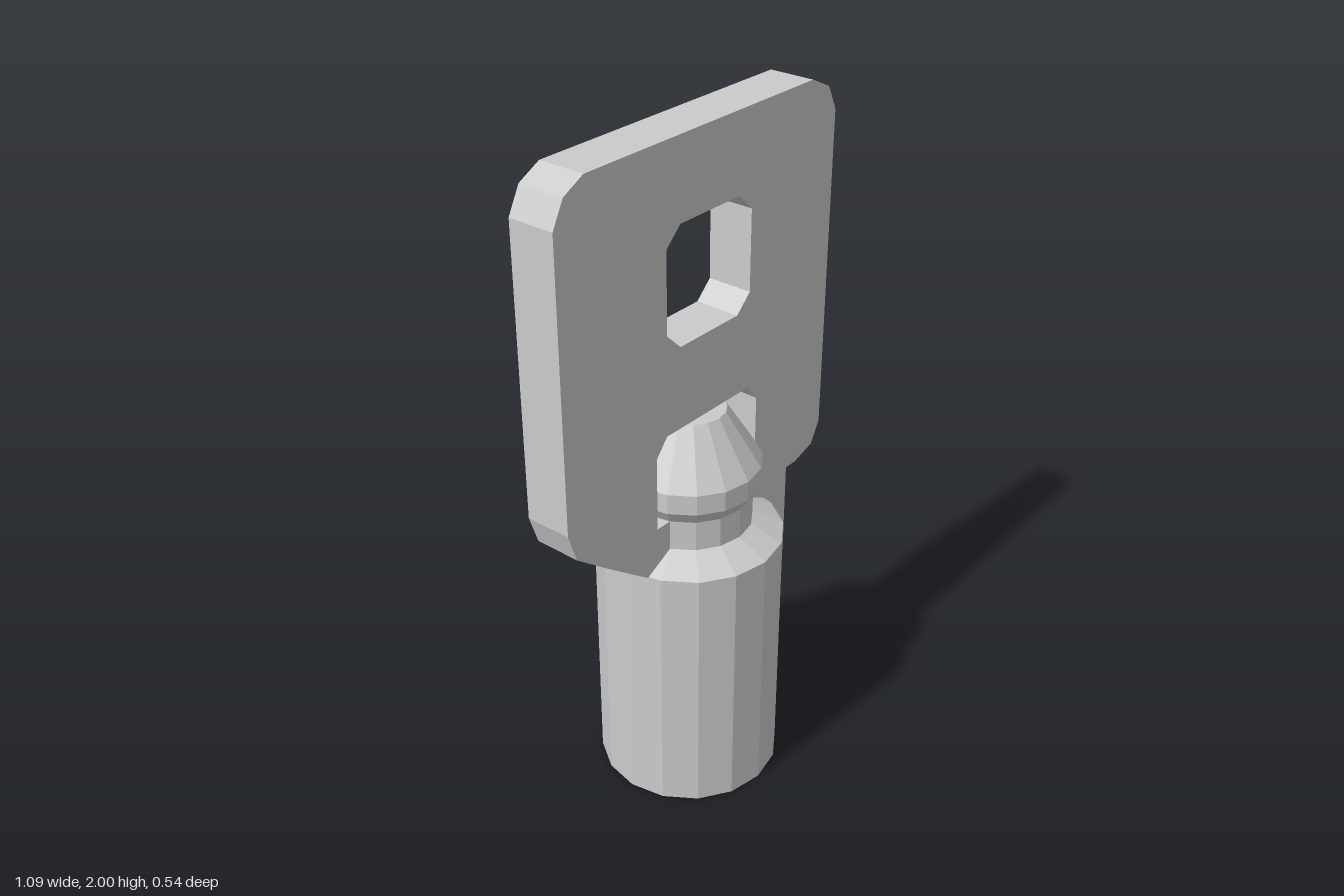
import * as THREE from 'three';

const AXIS = 0.012; // the barrel sits slightly off the plate's centre
const T = 0.136; // plate thickness
const mat = new THREE.MeshStandardMaterial({ color: 0xcccccc, flatShading: true });

const vecs = (pts) => pts.map(([x, y]) => new THREE.Vector2(x, y));

function add(group, name, geometry) {
  const mesh = new THREE.Mesh(geometry, mat);
  mesh.name = name;
  group.add(mesh);
  return mesh;
}

export function createModel() {
  const key = new THREE.Group();
  key.name = 'tubularKey';

  // Flat handle with rounded corners and a tongue down one side of the barrel
  const plate = new THREE.Shape(vecs([
    [-0.25, 0.795], [0.25, 0.795], [0.25, 0.455], [0.275, 0.46], [0.35, 0.49], [0.38, 0.55],
    [0.38, 0.845], [0.425, 0.845], [0.505, 0.87], [0.54, 0.935],
    [0.54, 1.895], [0.505, 1.965], [0.43, 2], [-0.44, 2], [-0.508, 1.965], [-0.545, 1.895],
    [-0.545, 1.085], [-0.517, 1.0], [-0.4, 0.908],
  ]));
  // Key ring hole, and the window around the head of the barrel
  plate.holes.push(
    new THREE.Path(vecs([
      [-0.107, 1.44], [-0.16, 1.49], [-0.16, 1.725], [-0.107, 1.775],
      [0.127, 1.775], [0.18, 1.725], [0.18, 1.49], [0.127, 1.44],
    ])),
    new THREE.Path(vecs([
      [-0.205, 0.93], [-0.205, 1.15], [-0.163, 1.2], [0.182, 1.2], [0.222, 1.15], [0.222, 0.93],
    ])),
  );
  const plateGeo = new THREE.ExtrudeGeometry(plate, { depth: T, bevelEnabled: false });
  add(key, 'handlePlate', plateGeo.translate(0, 0, -T / 2));

  // Hollow barrel, shoulder, neck and tapered head in one turned profile
  const barrel = add(key, 'barrel', new THREE.LatheGeometry(vecs([
    [0, 0.75], [0.24, 0.75], [0.24, 0], [0.27, 0], [0.27, 0.795], [0.18, 0.84],
    [0.18, 0.93], [0.205, 0.97], [0.205, 1.03], [0.103, 1.19], [0, 1.19],
  ]), 16));
  barrel.position.x = AXIS;

  // Small locating lug on the barrel's side
  const lug = add(key, 'locatingLug', new THREE.BoxGeometry(0.07, 0.115, 0.104));
  lug.position.set(0.287, 0.197, 0);

  return key;
}
